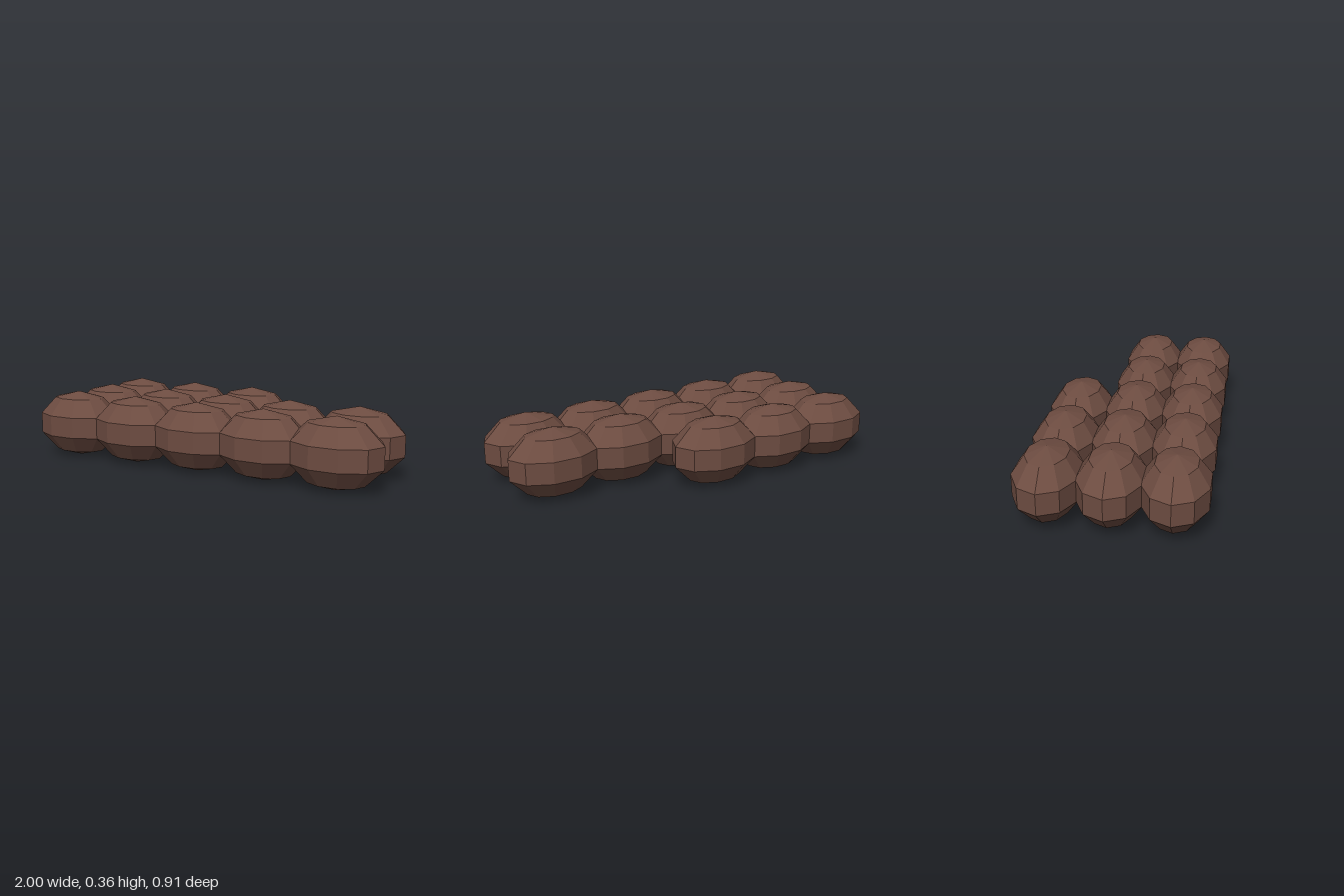
import * as THREE from 'three';

export function createModel() {
  const group = new THREE.Group();
  group.name = 'cobblePatch';
  const brown = new THREE.MeshStandardMaterial({ color: 0x6d4c41, flatShading: true });
  brown.name = 'brown';

  // One faceted, flattened stone shared by every row
  const stoneShape = new THREE.SphereGeometry(1, 10, 5).scale(0.25, 0.178, 0.1745).toNonIndexed();
  stoneShape.computeVertexNormals();

  // Back row is short, middle and front rows are full
  const rows = [
    { name: 'backRow', z: -0.299, count: 3 },
    { name: 'middleRow', z: 0, count: 5 },
    { name: 'frontRow', z: 0.299, count: 5 },
  ];
  for (const { name, z, count } of rows) {
    const row = new THREE.Group();
    row.name = name;
    for (let i = 0; i < count; i++) {
      const stone = new THREE.Mesh(stoneShape, brown);
      stone.name = 'stone';
      stone.position.set((i - 2) * 0.381, 0.18, z);
      row.add(stone);
    }
    group.add(row);
  }
  return group;
}
